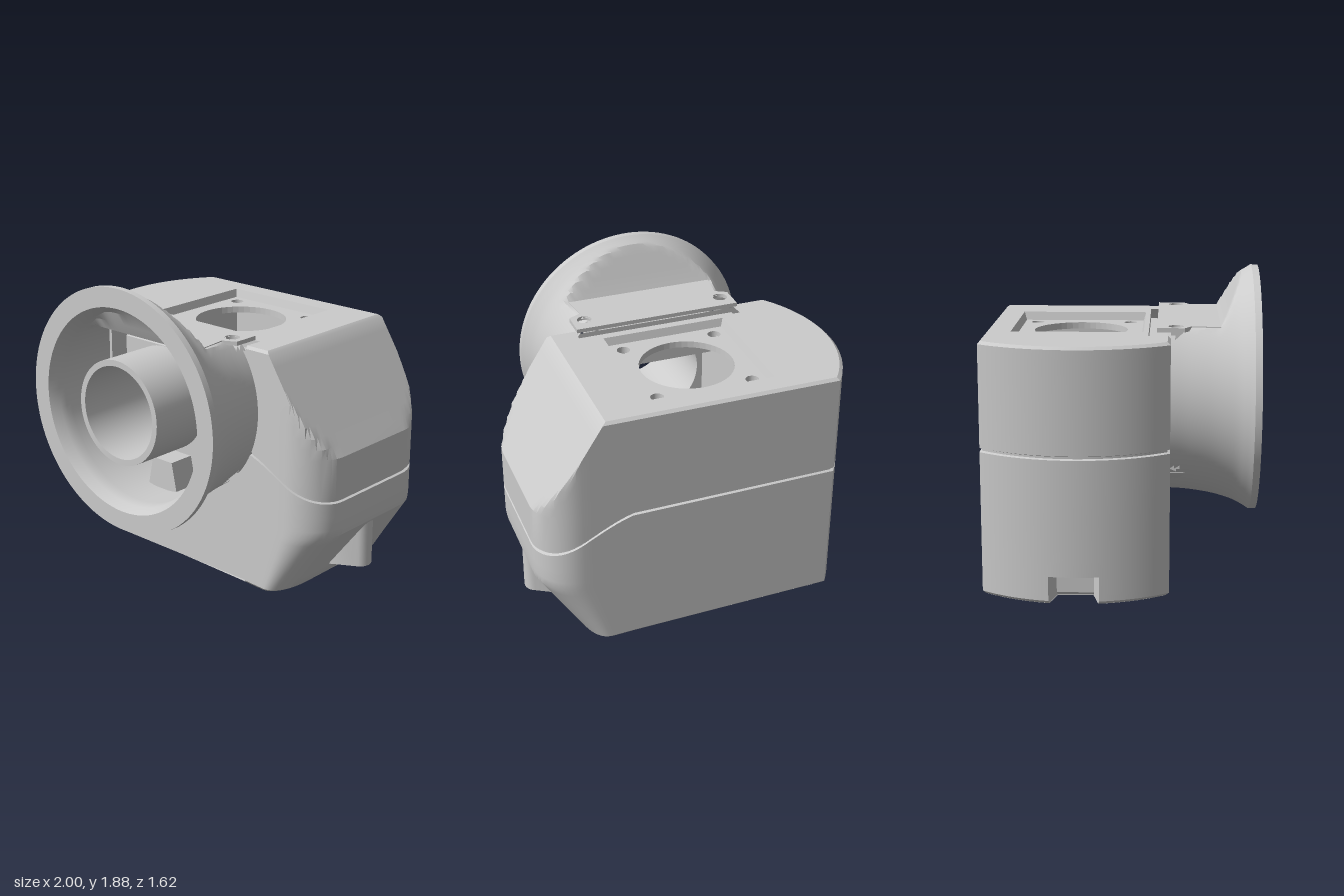
import * as THREE from 'three';
import { toCreasedNormals } from 'three/addons/utils/BufferGeometryUtils.js';

const mat = new THREE.MeshStandardMaterial({ color: 0xcccccc, side: THREE.DoubleSide });
const CX = -0.08, CY = 1.13, CZ = -0.27; // duct axis and body centre
const V2 = (x, y) => new THREE.Vector2(x, y);

function add(group, name, geo, x = 0, y = 0, z = 0) {
  const m = new THREE.Mesh(geo, mat);
  m.name = name;
  m.position.set(x, y, z);
  group.add(m);
  return m;
}
function box(group, name, x0, x1, y0, y1, z0, z1) {
  return add(group, name, new THREE.BoxGeometry(x1 - x0, y1 - y0, z1 - z0),
    (x0 + x1) / 2, (y0 + y1) / 2, (z0 + z1) / 2);
}
// Shape with round holes given as [x, y, radius]
function shape(points, holes = []) {
  const s = new THREE.Shape(points);
  for (const [x, y, r] of holes) s.holes.push(new THREE.Path().absarc(x, y, r, 0, Math.PI * 2, true));
  return s;
}
const rect = (x0, x1, y0, y1) => [V2(x0, y0), V2(x1, y0), V2(x1, y1), V2(x0, y1)];
const square = (h) => rect(CX - h, CX + h, -CZ - h, -CZ + h);
// Lay a shape drawn in (x, -z) flat, facing up
const flat = (s) => new THREE.ShapeGeometry(s, 32).rotateX(-Math.PI / 2);
const slab = (s, depth) =>
  new THREE.ExtrudeGeometry(s, { depth, bevelEnabled: false, curveSegments: 24 }).rotateX(-Math.PI / 2);

// Plan of the body, open at the front between x = -0.6 and 0.45
function planOutline() {
  const p = [];
  for (let x = 0.45; x < 0.74; x += 0.05) p.push(V2(x, 0.28));
  for (let i = 0; i <= 12; i++) {
    const a = Math.PI / 2 * (1 - i / 12);
    p.push(V2(0.75 + 0.25 * Math.cos(a), 0.03 + 0.25 * Math.sin(a)));
  }
  for (let i = 0; i <= 12; i++) {
    const a = -Math.PI / 2 * i / 12;
    p.push(V2(0.75 + 0.25 * Math.cos(a), -0.56 + 0.25 * Math.sin(a)));
  }
  for (let x = 0.7; x > 0.44; x -= 0.05) p.push(V2(x, -0.81));
  const half = Math.asin(0.545 / 0.915);
  for (let i = 0; i <= 32; i++) {
    const a = -half + 2 * half * i / 32;
    p.push(V2(-0.085 - 0.915 * Math.cos(a), -0.265 + 0.915 * Math.sin(a)));
  }
  p.push(V2(-0.6, 0.28));
  return p;
}
const bottomY = (x) => Math.max(0, 0.035 * (0.72 - x) / 1.72);
const seamY = (x) => 0.9 - 0.25 * THREE.MathUtils.smoothstep(x, 0.35, 1.08) / 0.962;

// Body wall as rows: [height, inset, notched]
function bodyRows() {
  const rows = [
    [bottomY, 0.02, true], [(x) => bottomY(x) + 0.02, 0, true], [0.1, 0, true], [0.2, 0, true],
    [0.2, 0], [0.3, 0], [0.37, 0], [0.42, 0], [0.47, 0], [0.55, 0],
    [(x) => seamY(x) - 0.012, 0], [(x) => seamY(x) - 0.006, 0.015],
    [(x) => seamY(x) + 0.006, 0.015], [(x) => seamY(x) + 0.012, 0],
  ];
  for (let i = 0; i <= 9; i++) rows.push([0.92 + 0.066 * i, 0]);
  rows.push([1.53, 0.018]);
  return rows.map(([h, inset, notched]) => planOutline().map((p) => {
    let { x, y: z } = p;
    const y = typeof h === 'function' ? h(x) : h;
    if (notched && x < -0.9 && Math.abs(z - CZ) < 0.13) x = -0.84; // foot notch
    if (y < 0.5 && x > 0.45) { // sloped underside
      const lim = Math.min(1 - 0.15 * Math.pow(Math.max(0, 0.5 - y), 2), 0.72 + 0.28 * y / 0.43);
      x = 0.45 + (x - 0.45) * (lim - 0.45) / 0.55;
    }
    if (y > 0.92) x = Math.min(x, 1 - 0.37 * (y - 0.92) / 0.58); // sloped shoulder
    return new THREE.Vector3(x * (1 - inset), y, CZ + (z - CZ) * (1 - inset * 1.8));
  }));
}
function loft(rows) {
  const n = rows[0].length, idx = [];
  for (let j = 0; j < rows.length - 1; j++)
    for (let i = 0; i < n - 1; i++) {
      const a = j * n + i, b = a + 1;
      idx.push(a, b, b + n, a, b + n, a + n);
    }
  const g = new THREE.BufferGeometry().setFromPoints(rows.flat());
  g.setIndex(idx);
  return toCreasedNormals(g, 0.45);
}

// Flared horn, cut flat on top, with two vertical screw holes
function hornGeometry() {
  const outer = new THREE.SplineCurve([V2(0.625, 0.26), V2(0.632, 0.38), V2(0.655, 0.53),
    V2(0.69, 0.65), V2(0.725, 0.72), V2(0.75, 0.76)]).getPoints(22);
  const profile = [...outer, V2(0.75, 0.8), V2(0.63, 0.8), V2(0.6, 0.74)];
  for (let z = 0.7; z > 0.27; z -= 0.035) profile.push(V2(0.592, z));
  const g = new THREE.LatheGeometry(profile, 128).rotateX(Math.PI / 2).translate(CX, CY, 0);
  const p = g.attributes.position;
  for (let i = 0; i < p.count; i++) {
    const inner = i % profile.length > outer.length + 1;
    const z = p.getZ(i);
    const top = (inner ? 1.54 : 1.57) + 2.15 * Math.max(0, z - (inner ? 0.6 : 0.57));
    p.setY(i, Math.min(p.getY(i), top));
  }
  const old = g.index.array, keep = [];
  for (let i = 0; i < old.length; i += 3) {
    const t = [old[i], old[i + 1], old[i + 2]];
    const x = t.reduce((s, k) => s + p.getX(k) / 3, 0), z = t.reduce((s, k) => s + p.getZ(k) / 3, 0);
    if (![-0.53, 0.37].some((hx) => Math.hypot(x - hx, z - 0.31) < 0.045)) keep.push(...t);
  }
  g.setIndex(keep);
  return toCreasedNormals(g, 0.5);
}

export function createModel() {
  const model = new THREE.Group();
  model.name = 'ductHousing';

  // Body shell with seam groove
  const body = new THREE.Group();
  body.name = 'body';
  model.add(body);
  const rows = bodyRows();
  add(body, 'bodyWall', loft(rows));
  add(body, 'frontPanel', new THREE.ShapeGeometry(
    shape(rect(-0.6, 0.45, 0.03, 1.5), [[CX, CY, 0.285]]), 32), 0, 0, 0.28);
  const base = flat(shape(rows[0].map((p) => V2(p.x, -p.z))));
  const bp = base.attributes.position;
  for (let i = 0; i < bp.count; i++) bp.setY(i, bottomY(bp.getX(i)));
  base.computeVertexNormals();
  add(body, 'bodyBase', base);

  // Top face with square recess and front slot
  const top = shape([...rows.at(-1).map((p) => V2(p.x, -p.z)), V2(-0.6, -0.15), V2(0.45, -0.15)]);
  top.holes.push(new THREE.Path(square(0.39).reverse()));
  add(body, 'topFace', flat(top), 0, 1.53, 0);
  const screws = [];
  for (const sx of [-1, 1]) for (const sz of [-1, 1]) screws.push([CX + sx * 0.295, -CZ + sz * 0.295, 0.04]);
  add(body, 'recessFloor', slab(shape(square(0.38), [[CX, -CZ, 0.285], ...screws]), 0.04), 0, 1.44, 0);
  const rim = new THREE.CylinderGeometry(0.39 * Math.SQRT2, 0.375 * Math.SQRT2, 0.05, 4, 1, true)
    .rotateY(Math.PI / 4).toNonIndexed();
  rim.computeVertexNormals();
  add(body, 'recessRim', rim, CX, 1.505, CZ);
  box(body, 'slotFloor', -0.6, 0.45, 1.3, 1.47, 0.14, 0.279);
  box(body, 'slotBack', -0.6, 0.45, 1.3, 1.528, 0.13, 0.15);

  // Inner duct chamber turning from the front tube to the top hole
  const duct = new THREE.Group();
  duct.name = 'ductChamber';
  model.add(duct);
  for (const s of [-1, 1]) box(duct, 'chamberSide', CX + s * 0.33 - 0.01, CX + s * 0.33 + 0.01, 0.8, 1.45, -0.6, 0.27);
  box(duct, 'chamberFloor', CX - 0.33, CX + 0.33, 0.79, 0.81, -0.6, 0.27);
  box(duct, 'chamberBack', CX - 0.33, CX + 0.33, 0.8, 1.45, -0.61, -0.59);
  add(duct, 'deflector', new THREE.BoxGeometry(0.66, 0.02, 0.75), CX, 1.03, -0.33).rotation.x = 0.62;

  // Front horn with mounting plate, braces and centre tube
  const horn = new THREE.Group();
  horn.name = 'horn';
  model.add(horn);
  add(horn, 'flare', hornGeometry());
  add(horn, 'mountPlate', slab(shape([V2(-0.6, -0.2), V2(-0.6, -0.36), V2(-0.53, -0.4), V2(-0.55, -0.57),
    V2(0.39, -0.57), V2(0.37, -0.4), V2(0.45, -0.36), V2(0.45, -0.2)],
  [[-0.53, -0.31, 0.045], [0.37, -0.31, 0.045]]), 0.025), 0, 1.55, 0);
  box(horn, 'leftBrace', 0.29, 0.31, 0.68, 1.54, 0.28, 0.5);
  box(horn, 'rightBrace', -0.47, -0.45, 0.68, 1.54, 0.28, 0.5);
  const wedge = shape([V2(-0.2, 0.54), V2(0.04, 0.54), V2(0, 0.73), V2(-0.16, 0.73)]);
  add(horn, 'floorWedge', new THREE.ExtrudeGeometry(wedge, { depth: 0.17, bevelEnabled: false }), 0, 0, 0.28);
  const ring = [V2(0.285, 0.27), V2(0.322, 0.27), V2(0.322, 0.81), V2(0.285, 0.81), V2(0.285, 0.27)];
  add(horn, 'centreTube', toCreasedNormals(new THREE.LatheGeometry(ring, 64).rotateX(Math.PI / 2), 0.5), CX, CY, 0);
  const collar = new THREE.CylinderGeometry(0.325 * Math.SQRT2, 0.36 * Math.SQRT2, 0.14, 4, 1, true)
    .rotateY(Math.PI / 4).rotateX(Math.PI / 2).toNonIndexed();
  collar.computeVertexNormals();
  add(horn, 'tubeCollar', collar, CX, CY, 0.35);
  add(horn, 'collarFace', new THREE.ShapeGeometry(
    shape(rect(-0.325, 0.325, -0.325, 0.325), [[0, 0, 0.32]]), 32), CX, CY, 0.42);

  // Side lug with screw hole, below the shoulder
  const nose = [V2(0.7, 0.11), V2(0.8, 0.12)];
  for (let i = 0; i <= 10; i++) {
    const a = -Math.PI / 2 * 0.8 + Math.PI * 0.8 * i / 10;
    nose.push(V2(0.915 + 0.07 * Math.cos(a), -CZ + 0.075 * Math.sin(a)));
  }
  nose.push(V2(0.8, 0.42), V2(0.7, 0.43));
  add(model, 'sideLug', toCreasedNormals(slab(shape(nose, [[0.9, -CZ, 0.035]]), 0.33), 0.5), 0, 0.11, 0);

  return model;
}
